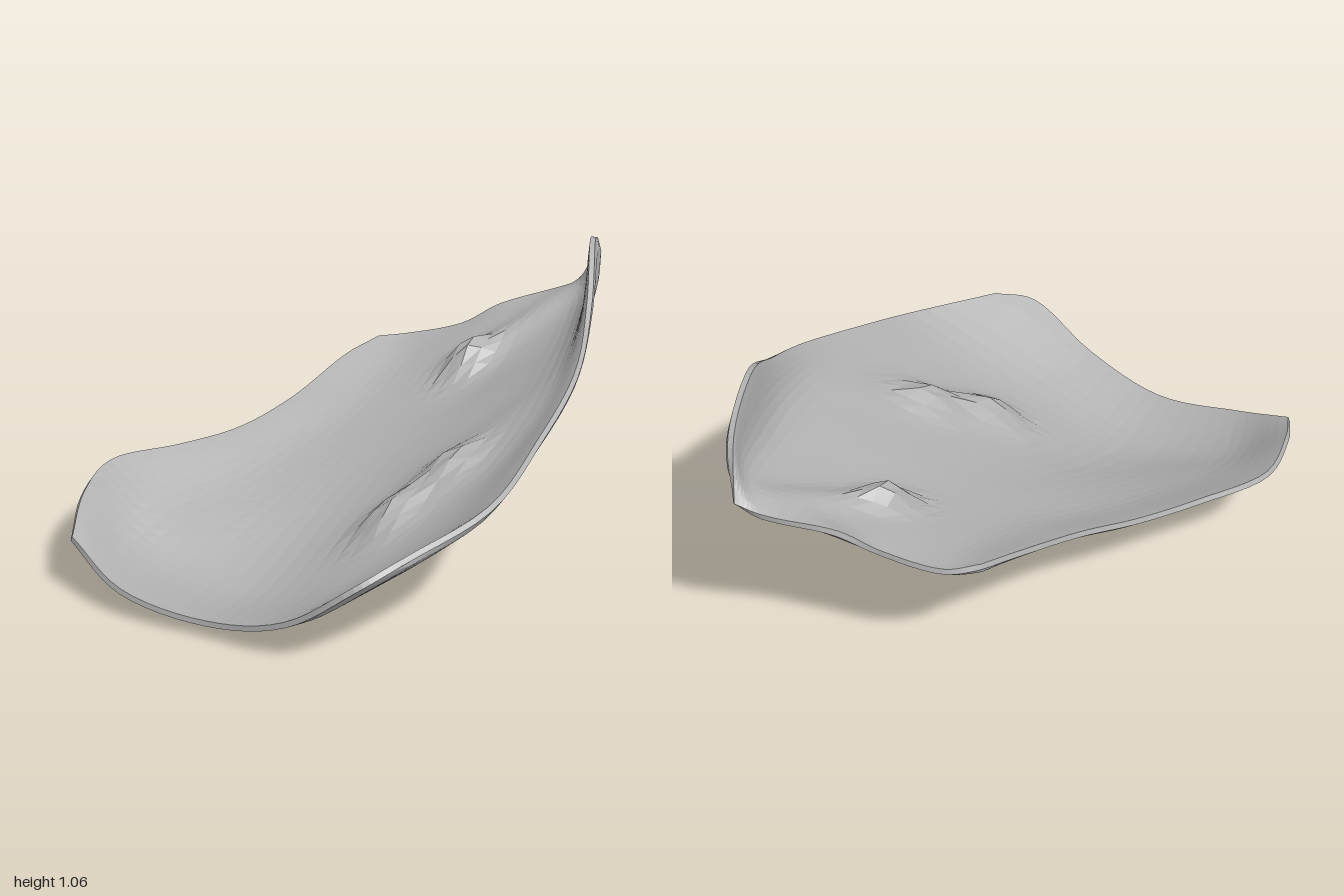
import * as THREE from 'three';

// Control sections from the back edge to the front edge, each running from the low rim (-x) to the tall rim (+x)
const SECTIONS = [
  [.06, .51, -.9, .18, .51, -.945, .4, .565, -.945, .55, .65, -.96, .8, .72, -1, .9, .76, -1],
  [-.06, .48, -.77, .15, .47, -.79, .4, .55, -.8, .68, .65, -.83, .885, .77, -.86, .92, .96, -.86],
  [-.25, .39, -.52, 0, .37, -.5, .3, .45, -.52, .63, .58, -.57, .87, .75, -.62, .905, 1.06, -.64],
  [-.44, .33, -.34, -.2, .275, -.27, .12, .335, -.25, .5, .5, -.28, .83, .72, -.3, .905, .92, -.34],
  [-.65, .32, -.18, -.41, .2, -.03, -.05, .21, .02, .38, .4, .02, .75, .63, .02, .875, .77, -.03],
  [-.88, .33, 0, -.6, .16, .18, -.2, .09, .29, .2, .25, .33, .55, .45, .33, .75, .63, .3],
  [-.94, .31, .26, -.7, .115, .38, -.3, .04, .5, .07, .16, .6, .36, .33, .61, .6, .51, .6],
  [-.94, .24, .49, -.73, .125, .66, -.4, .08, .78, -.1, .17, .92, .15, .36, .99, .3, .43, .91],
];
// Pinched folds in the shell: start x, z, height, end x, z, height, half width
const FOLDS = [
  [.19, .3, .06, .22, .28, .06, .09],
  [.22, .28, .03, .42, .14, .06, .1],
  [.42, .14, .03, .7, -.1, .01, .1],
  [.42, -.6, .06, .44, -.62, .06, .08],
  [.45, -.64, .05, .8, -.89, .02, .07],
];
const NU = 30, NV = 36, THICK = .035;

// Extra height of the folds at a point, fading away from each fold line
function foldHeight(x, z) {
  let sum = 0;
  for (const [x0, z0, h0, x1, z1, h1, width] of FOLDS) {
    const dx = x1 - x0, dz = z1 - z0;
    const t = THREE.MathUtils.clamp(((x - x0) * dx + (z - z0) * dz) / (dx * dx + dz * dz), 0, 1);
    const d = Math.hypot(x - x0 - t * dx, z - z0 - t * dz) / width;
    sum += THREE.MathUtils.lerp(h0, h1, t) * Math.exp(-d * d);
  }
  return sum;
}

function surfaceGrid() {
  const rows = SECTIONS.map((s) => {
    const pts = [];
    for (let i = 0; i < s.length; i += 3) pts.push(new THREE.Vector3(s[i], s[i + 1], s[i + 2]));
    return new THREE.CatmullRomCurve3(pts);
  });
  const grid = [];
  for (let u = 0; u <= NU; u++) {
    const along = new THREE.CatmullRomCurve3(rows.map((r) => r.getPoint(u / NU)));
    for (let v = 0; v <= NV; v++) grid[v * (NU + 1) + u] = along.getPoint(v / NV);
  }
  return grid;
}

function shellGeometry() {
  const top = surfaceGrid(), n = top.length, W = NU + 1;
  const topIndex = [];
  for (let v = 0; v < NV; v++) {
    for (let u = 0; u < NU; u++) {
      const a = v * W + u;
      topIndex.push(a, a + W, a + 1, a + 1, a + W, a + W + 1);
    }
  }
  const sheet = new THREE.BufferGeometry().setFromPoints(top);
  sheet.setIndex(topIndex);
  sheet.computeVertexNormals();
  const normals = sheet.attributes.normal;

  // Underside, offset along the normals and thinner at the rim
  const under = top.map((p, i) => {
    const u = i % W, v = Math.floor(i / W);
    const rim = u === 0 || u === NU || v === 0 || v === NV;
    const normal = new THREE.Vector3().fromBufferAttribute(normals, i);
    return p.clone().addScaledVector(normal, rim ? -THICK * .6 : -THICK);
  });
  // Raise the folds through both sides alike
  top.forEach((p, i) => {
    const h = foldHeight(p.x, p.z);
    p.y += h;
    under[i].y += h;
  });
  const index = [...topIndex];
  for (let i = 0; i < topIndex.length; i += 3) {
    index.push(topIndex[i] + n, topIndex[i + 2] + n, topIndex[i + 1] + n);
  }

  // Rim band around the four edges
  const loop = [];
  for (let u = 0; u < NU; u++) loop.push(u);
  for (let v = 0; v < NV; v++) loop.push(v * W + NU);
  for (let u = NU; u > 0; u--) loop.push(NV * W + u);
  for (let v = NV; v > 0; v--) loop.push(v * W);
  loop.forEach((a, i) => {
    const b = loop[(i + 1) % loop.length];
    index.push(a, b, a + n, b, b + n, a + n);
  });

  const geometry = new THREE.BufferGeometry().setFromPoints([...top, ...under]);
  geometry.setIndex(index);
  geometry.computeVertexNormals();
  return geometry;
}

export function createModel() {
  const group = new THREE.Group();
  group.name = 'curvedShell';
  const grey = new THREE.MeshStandardMaterial({ color: 0xb0b0b0, flatShading: true });
  grey.name = 'grey';
  const shell = new THREE.Mesh(shellGeometry(), grey);
  shell.name = 'shell';
  // Stand the shell on the ground
  shell.geometry.computeBoundingBox();
  shell.position.y = -shell.geometry.boundingBox.min.y;
  group.add(shell);
  return group;
}
